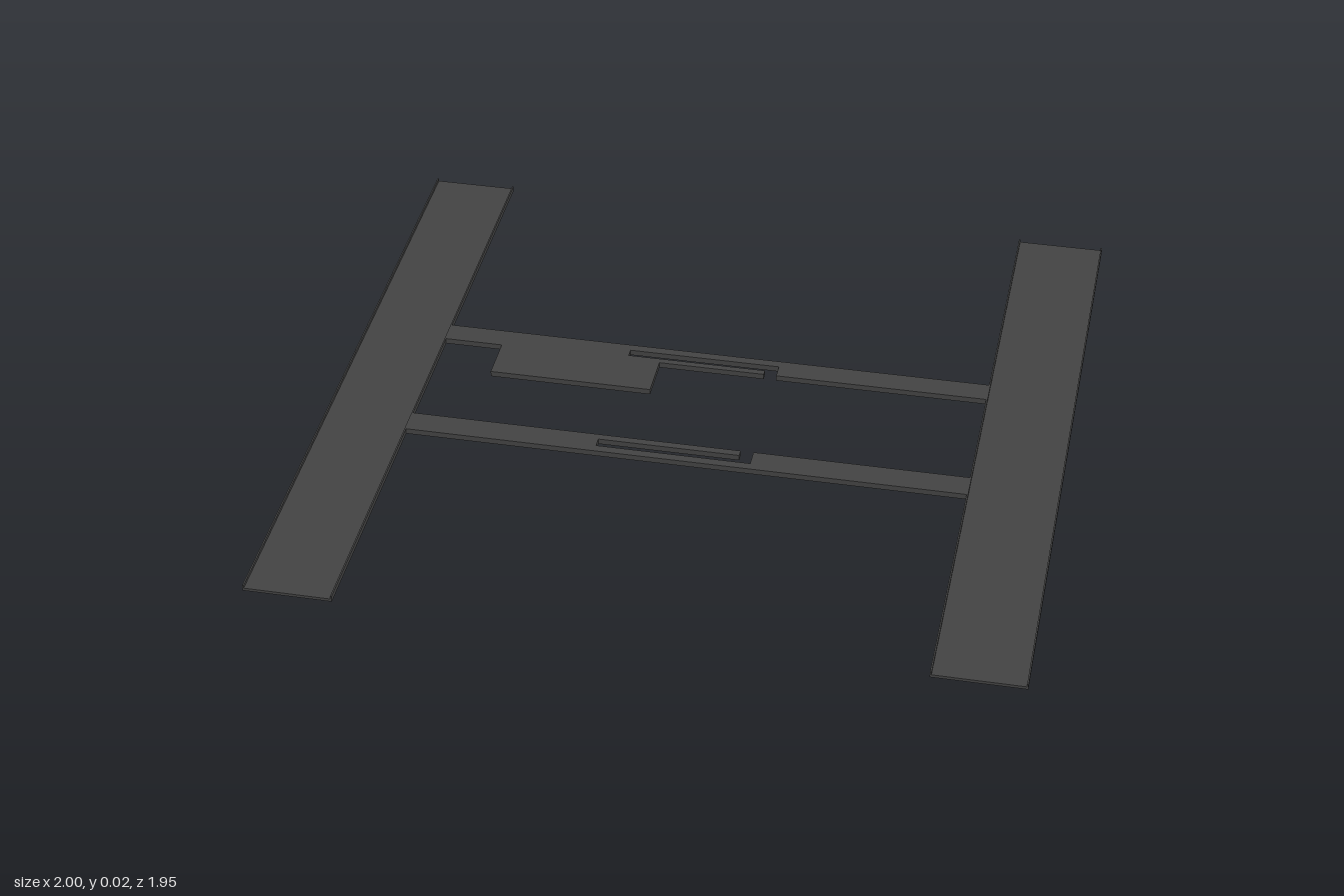
import * as THREE from 'three';

const H = 0.016; // full thickness
const FLOOR = 0.008; // plate floor thickness
const RIM = 0.004;
const material = new THREE.MeshStandardMaterial({ color: 0x444444, flatShading: true });

// Flat part from an outline of [x, z] points, standing on y = 0
function flatPart(name, points, height) {
  const shape = new THREE.Shape(points.map(([x, z]) => new THREE.Vector2(x, -z)));
  const geometry = new THREE.ExtrudeGeometry(shape, { depth: height, bevelEnabled: false });
  geometry.rotateX(-Math.PI / 2);
  const mesh = new THREE.Mesh(geometry, material);
  mesh.name = name;
  return mesh;
}

function rect(x0, x1, z0, z1) {
  return [[x0, z0], [x1, z0], [x1, z1], [x0, z1]];
}

// Long side plate: thin floor with a low rim along both long edges
function sidePlate(name, x0, x1) {
  const group = new THREE.Group();
  group.name = name;
  const z = 0.977;
  group.add(
    flatPart('plateFloor', rect(x0 + RIM, x1 - RIM, -z, z), FLOOR),
    flatPart('plateRim', rect(x0, x0 + RIM, -z, z), H),
    flatPart('plateRim', rect(x1 - RIM, x1, -z, z), H)
  );
  return group;
}

export function createModel() {
  const model = new THREE.Group();
  model.name = 'frame';
  const left = -0.765, right = 0.757; // inner edges of the side plates
  const slotStart = -0.245, slotEnd = 0.175, tongueEnd = 0.14;

  model.add(sidePlate('rightPlate', -1, left), sidePlate('leftPlate', right, 1));

  // Rear crossbar with its pad, slot and tongue
  model.add(flatPart('rearCrossbar', [
    [left, -0.24], [right, -0.24], [right, -0.172], [slotEnd, -0.172],
    [slotEnd, -0.215], [slotStart, -0.215], [slotStart, -0.19],
    [tongueEnd, -0.19], [tongueEnd, -0.172], [-0.154, -0.172],
    [-0.154, -0.043], [-0.604, -0.043], [-0.604, -0.172], [left, -0.172],
  ], H));

  // Front crossbar with slot and tongue on its inner side
  model.add(flatPart('frontCrossbar', [
    [left, 0.257], [right, 0.257], [right, 0.183], [slotEnd, 0.183],
    [slotEnd, 0.233], [slotStart, 0.233], [slotStart, 0.204],
    [tongueEnd, 0.204], [tongueEnd, 0.183], [left, 0.183],
  ], H));

  return model;
}
